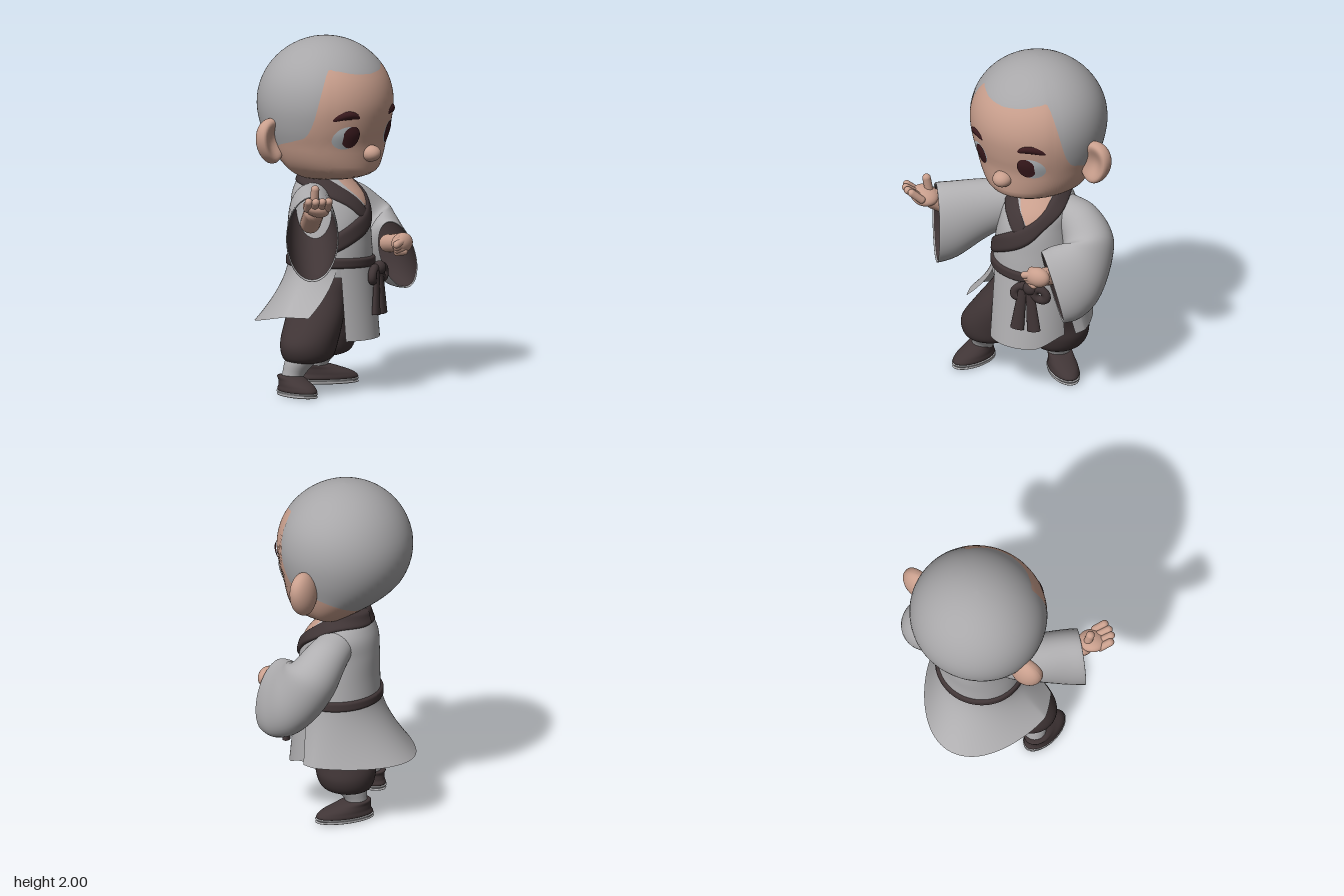
import * as THREE from 'three';

const paint = (name, color) => Object.assign(new THREE.MeshStandardMaterial({ color }), { name });
const rad = THREE.MathUtils.degToRad, lerp = THREE.MathUtils.lerp, ease = THREE.MathUtils.smoothstep;

// Smooth lookup: the first column is the parameter, the others are values
function table(rows) {
  const n = rows[0].length - 1;
  const it = new THREE.CubicInterpolant(rows.map(r => r[0]), rows.flatMap(r => r.slice(1)), n, new Float32Array(n));
  return t => it.evaluate(t);
}

// Grid surface from fn(u, v); the faces look outward when u runs anticlockwise and v runs up
function surface(fn, nu, nv, wrap = true) {
  const cols = wrap ? nu : nu + 1, pos = [], idx = [];
  for (let j = 0; j <= nv; j++) for (let i = 0; i < cols; i++) pos.push(...fn(i / nu, j / nv));
  for (let j = 0; j < nv; j++) for (let i = 0; i < nu; i++) {
    const a = j * cols + i, b = j * cols + (i + 1) % cols;
    idx.push(a, b, a + cols, b, b + cols, a + cols);
  }
  const g = new THREE.BufferGeometry();
  g.setAttribute('position', new THREE.Float32BufferAttribute(pos, 3));
  g.setIndex(idx);
  g.computeVertexNormals();
  return g;
}

// Elliptical rings [x, y, z, yaw, pitch, width, height, lean] swept into a skin
function tube(rings, flip = false) {
  const at = table(rings.map((r, i) => [i, ...r])), last = rings.length - 1;
  return surface((u, v) => {
    const [x, y, z, yaw, pitch, w, h, lean] = at(v * last);
    const t = new THREE.Vector3(Math.sin(yaw) * Math.cos(pitch), Math.sin(pitch), Math.cos(yaw) * Math.cos(pitch));
    const A = new THREE.Vector3(-Math.cos(yaw), 0, Math.sin(yaw)), B = A.clone().cross(t);
    B.x -= lean;
    const a = u * Math.PI * 2 * (flip ? -1 : 1);
    return A.multiplyScalar(w * Math.sin(a)).addScaledVector(B, h * Math.cos(a)).add(new THREE.Vector3(x, y, z)).toArray();
  }, 40, last * 6);
}

// Closed upright stack of ellipses [x, y, z, rx, rz], listed bottom to top
function stack(rows) {
  const ring = ([x, y, z, rx, rz]) => [x, y, z, 0, Math.PI / 2, rx, rz, 0];
  const cap = r => ring([r[0], r[1], r[2], 0.001, 0.001]);
  return tube([cap(rows[0]), ...rows.map(ring), cap(rows[rows.length - 1])]);
}

// Torso shape, shared by everything wrapped around it
const torsoTable = table([
  [0.66, 0.08, 0, 0.25, 0.235], [0.85, 0.08, 0, 0.235, 0.23], [1.0, 0.085, -0.01, 0.215, 0.225],
  [1.1, 0.09, -0.03, 0.205, 0.2], [1.17, 0.09, -0.05, 0.165, 0.16], [1.22, 0.088, -0.06, 0.13, 0.13],
  [1.27, 0.085, -0.065, 0.115, 0.115]]);
function torso(deg, y, off = 0) {
  const [cx, cz, rx, rz] = torsoTable(y), a = rad(deg);
  return [cx + (rx + off) * Math.sin(a), y, cz + (rz + off) * Math.cos(a)];
}

// Head shape: half width, depth to the front and depth to the back by height
const headTable = table([
  [1.19, 0.55, 0.7, 0.15], [1.22, 0.52, 0.66, 0.18], [1.3, 0.44, 0.48, 0.27], [1.4, 0.394, 0.387, 0.337],
  [1.5, 0.386, 0.374, 0.365], [1.65, 0.394, 0.385, 0.384], [1.8, 0.405, 0.392, 0.388], [2.0, 0.41, 0.39, 0.39]]);
const hairline = table([
  [0, 1.815], [20, 1.825], [38, 1.845], [46, 1.84], [52, 1.72], [58, 1.57], [64, 1.49], [77, 1.45],
  [95, 1.42], [115, 1.38], [145, 1.32], [180, 1.27]]);
const HEAD_Y = 1.595, HEAD_R = 0.405;
function headPoint(a, t) {
  const y = HEAD_Y - HEAD_R * Math.cos(Math.PI * t), s = Math.sin(Math.PI * t) + 1e-4, c = Math.cos(a);
  const [w, f, b] = headTable(y);
  return [s * w * Math.sin(a), y, s * (c > 0 ? f : b) * c];
}
function faceZ(x, y) {
  const s = Math.sqrt(1 - ((y - HEAD_Y) / HEAD_R) ** 2), [w, f] = headTable(y);
  return s * f * Math.sqrt(1 - (x / (s * w)) ** 2);
}

export function createModel() {
  const skin = paint('skin', 0xc99f8d), hair = paint('croppedHair', 0xa8a7a9), robe = paint('robeCloth', 0xb0afb1);
  const dark = paint('darkCloth', 0x403536), white = paint('eyeWhite', 0xb0b5b9), brown = paint('eyeBrown', 0x3c1b1f);
  robe.side = dark.side = skin.side = THREE.DoubleSide;
  const model = new THREE.Group();
  const add = (name, geo, mat, parent = model) => {
    const m = new THREE.Mesh(geo, mat);
    m.name = name;
    parent.add(m);
    return m;
  };
  const ball = (name, mat, p, s, parent) => {
    const m = add(name, new THREE.SphereGeometry(1, 28, 20), mat, parent);
    m.position.set(...p);
    m.scale.set(...s);
    return m;
  };
  const limb = (name, mat, p, q, r) => {
    const a = new THREE.Vector3(...p), d = new THREE.Vector3(...q).sub(a), len = d.length();
    const m = add(name, new THREE.CapsuleGeometry(r, len, 6, 16), mat);
    m.position.copy(a).addScaledVector(d, 0.5);
    m.quaternion.setFromUnitVectors(new THREE.Vector3(0, 1, 0), d.normalize());
    return m;
  };

  // Head: one skin, split into face and hair along the hairline
  const head = new THREE.Group();
  head.name = 'head';
  head.position.set(0.075, 0, -0.035);
  head.rotation.y = -0.06;
  model.add(head);
  const NU = 144, NV = 48;
  const skull = surface((u, v) => {
    const deg = u * 360, y = hairline(Math.min(deg, 360 - deg))[0];
    const T = Math.acos((HEAD_Y - y) / HEAD_R) / Math.PI;
    return headPoint(u * Math.PI * 2, v < 0.5 ? T * v * 2 : lerp(T, 1, v * 2 - 1));
  }, NU, NV);
  skull.addGroup(0, NU * NV * 3, 0);
  skull.addGroup(NU * NV * 3, NU * NV * 3, 1);
  add('skull', skull, [skin, hair], head);
  ball('nose', skin, [0, 1.365, 0.338], [0.056, 0.047, 0.06], head);

  // Eyes and brows laid on the face
  const decal = (name, mat, x0, y0, rx, ry, off, bulge = 0, bend = 0, tilt = 0) => add(name, surface((u, v) => {
    const r = 1 - v, c = r * Math.cos(u * Math.PI * 2), s = r * Math.sin(u * Math.PI * 2);
    const x = x0 + rx * c, y = y0 + ry * s - bend * c * c + tilt * c;
    return [x, y, faceZ(x, y) + off + bulge * (1 - r * r)];
  }, 32, 8), mat, head);
  for (const s of [1, -1]) {
    decal('eyeWhite', white, s * 0.178, 1.468, 0.07, 0.066, 0.002, 0.008);
    decal('iris', brown, s * 0.157, 1.472, 0.048, 0.063, 0.008, 0.006);
    decal('brow', brown, s * 0.192, 1.6, 0.07, 0.024, 0.004, 0.012, 0.022, -s * 0.004);
    // Ear: a flattened ball with a hollow front, narrowing to the lobe
    const g = new THREE.SphereGeometry(1, 32, 24), p = g.attributes.position;
    for (let i = 0; i < p.count; i++) {
      const x = p.getX(i), y = p.getY(i), z = p.getZ(i);
      if (z > 0) p.setZ(i, z * (0.1 + 1.3 * (x * x + y * y)));
      p.setX(i, x * (1 + 0.15 * y));
    }
    g.scale(0.098, 0.13, 0.068);
    g.computeVertexNormals();
    const ear = add('ear', g, skin, head);
    ear.position.set(s > 0 ? 0.408 : -0.378, s > 0 ? 1.46 : 1.437, s > 0 ? 0.012 : -0.08);
    ear.rotation.z = -s * 0.15;
  }

  // Torso, neck and the skin in the open collar
  limb('neck', skin, [0.085, 1.12, -0.055], [0.08, 1.28, -0.045], 0.1);
  add('torso', surface((u, v) => torso(u * 360, lerp(0.66, 1.25, v)), 64, 30), robe);
  add('chestSkin', surface((u, v) => torso(lerp(lerp(18, -27, v), lerp(20, 60, v), u), lerp(1.03, 1.23, v), 0.005), 16, 8, false), skin);

  // Raised bands around the torso: rows of [angle, height, half width]
  const band = (name, rows, off) => {
    const at = table(rows), first = rows[0][0], last = rows[rows.length - 1][0];
    add(name, surface((u, v) => {
      const a = lerp(first, last, u), [y, h] = at(a);
      return torso(a, y + (v * 2 - 1) * h, off * (1 - 1.6 * Math.abs(v * 2 - 1) ** 6));
    }, 72, 14, false), dark);
  };
  band('innerCollar', [[-180, 1.22, 0.045], [-90, 1.2, 0.05], [-27, 1.12, 0.06], [11, 1.0, 0.055], [15, 0.985, 0.04]], 0.01);
  band('outerCollar', [[-75, 0.79, 0.05], [-23, 0.9, 0.065], [22, 1.0, 0.07], [51, 1.11, 0.07], [90, 1.2, 0.055], [180, 1.22, 0.045]], 0.017);
  band('belt', [[-180, 0.728, 0.032], [-70, 0.742, 0.032], [70, 0.722, 0.032], [180, 0.728, 0.032]], 0.015);

  // Skirt: wide swept back with a lifted flap, and straight front panel
  const skirt = (name, a0, a1, b0, b1, [cx, cz, rx, rz], hem, flare, point) => add(name, surface((u, v) => {
    const t = 1 - v, deg = lerp(lerp(a0, b0, t), lerp(a1, b1, t), u), a = rad(deg), k = t ** flare, c = Math.cos(a);
    const top = torso(deg, 0.72, 0.004);
    return [lerp(top[0], cx + rx * Math.sin(a), k), lerp(0.72, hem(deg), t),
      lerp(top[2], cz + rz * Math.sign(c) * Math.abs(c) ** point, k)];
  }, 56, 18, false), robe);
  skirt('skirtBack', 70, 318, 73, 299, [0.027, -0.01, 0.375, 0.425], d => 0.37 + 0.08 * ease(d, 195, 275), 1.5, 1.5);
  skirt('skirtFront', -38, 72, -37, 72, [0.08, 0, 0.262, 0.285], d => 0.3 + 0.06 * ease(d, 30, 72), 1, 1);

  // Belt knot with two loops and two tails
  ball('knot', dark, [0.205, 0.69, 0.25], [0.042, 0.04, 0.035]);
  for (const s of [1, -1]) {
    const loop = add('knotLoop', new THREE.TorusGeometry(0.036, 0.027, 12, 24), dark);
    loop.position.set(0.203 + s * 0.055, 0.658, 0.243 - s * 0.012);
    loop.scale.set(1.1, 0.85, 0.9);
    loop.rotation.set(0, 0.35, s * -0.6);
    const tail = add('knotTail', new THREE.CylinderGeometry(0.024, 0.04, 0.25, 16), dark);
    tail.position.set(0.185 + s * 0.035, 0.555, 0.262 - s * 0.008);
    tail.scale.z = 0.55;
    tail.rotation.set(-0.03, 0.3, s * 0.11);
  }

  // Bell sleeves with a dark lining
  const sleeve = (name, rings) => {
    const shrink = r => r.map((n, i) => (i === 5 || i === 6 ? n * 0.955 : n));
    add(name, tube([...rings, shrink(rings[rings.length - 1])]), robe);
    add(name + 'Lining', tube(rings.map(shrink), true), dark);
  };
  sleeve('rightSleeve', [
    [0.03, 1.08, -0.06, -0.85, -0.1, 0.085, 0.09, 0], [-0.1, 1.05, 0, -0.85, -0.1, 0.115, 0.137, 0],
    [-0.22, 1.01, 0.09, -0.85, -0.1, 0.13, 0.176, 0], [-0.34, 0.952, 0.19, -0.85, -0.05, 0.143, 0.228, 0],
    [-0.42, 0.93, 0.25, -0.85, 0, 0.148, 0.243, 0]]);
  sleeve('leftSleeve', [
    [0.18, 1.08, -0.06, 1.57, -0.6, 0.1, 0.1, 0], [0.32, 1.035, -0.06, 1.4, -0.75, 0.12, 0.12, 0],
    [0.42, 0.92, -0.02, 0.75, -0.85, 0.145, 0.15, 0], [0.43, 0.8, 0.09, 0, -0.35, 0.145, 0.195, 0.15],
    [0.4, 0.755, 0.18, -0.4, -0.12, 0.13, 0.208, 0.28], [0.365, 0.745, 0.255, -0.72, 0, 0.105, 0.2, 0.36]]);

  // Right hand, open with the palm up
  limb('rightForearm', skin, [-0.32, 1.0, 0.16], [-0.43, 1.085, 0.27], 0.058);
  ball('rightPalm', skin, [-0.465, 1.115, 0.31], [0.082, 0.046, 0.075]).rotation.set(0.25, 0, -0.25);
  limb('rightThumb', skin, [-0.45, 1.13, 0.285], [-0.46, 1.222, 0.3], 0.024);
  [-0.057, -0.019, 0.019, 0.057].forEach((k, i) => {
    const x = -0.485 + k * 0.72, z = 0.335 + k * 0.7, len = [0.042, 0.052, 0.05, 0.04][i];
    limb('rightFinger', skin, [x, 1.12, z], [x - len, 1.168, z + len], 0.022);
  });

  // Left hand, half closed in front of the belt
  limb('leftForearm', skin, [0.38, 0.8, 0.18], [0.33, 0.82, 0.3], 0.052);
  ball('leftPalm', skin, [0.31, 0.825, 0.33], [0.075, 0.058, 0.05]);
  for (let i = 0; i < 4; i++) limb('leftFinger', skin, [0.3, 0.845 - i * 0.022, 0.352], [0.233 + i * 0.01, 0.825 - i * 0.016, 0.35 - i * 0.006], 0.021);
  limb('leftThumb', skin, [0.32, 0.85, 0.33], [0.27, 0.855, 0.33], 0.022);

  // Baggy trousers and socks
  add('rightTrouser', stack([[-0.22, 0.185, 0.045, 0.08, 0.08], [-0.2, 0.215, 0.05, 0.15, 0.135], [-0.185, 0.3, 0.05, 0.178, 0.155],
    [-0.125, 0.42, 0.04, 0.16, 0.165], [-0.05, 0.55, 0.02, 0.14, 0.16], [0.02, 0.68, 0, 0.12, 0.15]]), dark);
  add('leftTrouser', stack([[0.15, 0.17, -0.1, 0.07, 0.07], [0.17, 0.2, -0.1, 0.13, 0.14], [0.178, 0.275, -0.1, 0.158, 0.17],
    [0.172, 0.36, -0.09, 0.155, 0.175], [0.16, 0.5, -0.04, 0.15, 0.17], [0.13, 0.68, 0, 0.14, 0.15]]), dark);
  add('rightSock', stack([[-0.285, 0.07, -0.005, 0.048, 0.052], [-0.268, 0.13, 0.008, 0.066, 0.068], [-0.23, 0.22, 0.045, 0.092, 0.09]]), robe);
  add('leftSock', stack([[0.138, 0.07, -0.148, 0.048, 0.048], [0.14, 0.13, -0.138, 0.068, 0.066], [0.148, 0.21, -0.1, 0.092, 0.09]]), robe);

  // Cloth shoes with pale soles
  const shoe = (name, x, z, turn, len) => {
    const g = new THREE.Group();
    g.name = name;
    g.position.set(x, 0, z);
    g.rotation.y = turn;
    model.add(g);
    add('sole', stack([[0, 0.003, 0, 0.072, len * 0.97], [0, 0.016, 0, 0.08, len], [0, 0.03, 0, 0.077, len * 0.98]]), robe, g);
    add('upper', stack([[0, 0.028, 0, 0.074, len * 0.96], [0, 0.06, -0.004, 0.077, len * 0.93], [0, 0.088, -len * 0.22, 0.071, len * 0.72],
      [0, 0.115, -len * 0.48, 0.062, 0.07]]), dark, g);
  };
  shoe('rightShoe', -0.303, 0.055, -0.22, 0.143);
  shoe('leftShoe', 0.197, -0.102, 0.88, 0.165);
  return model;
}
